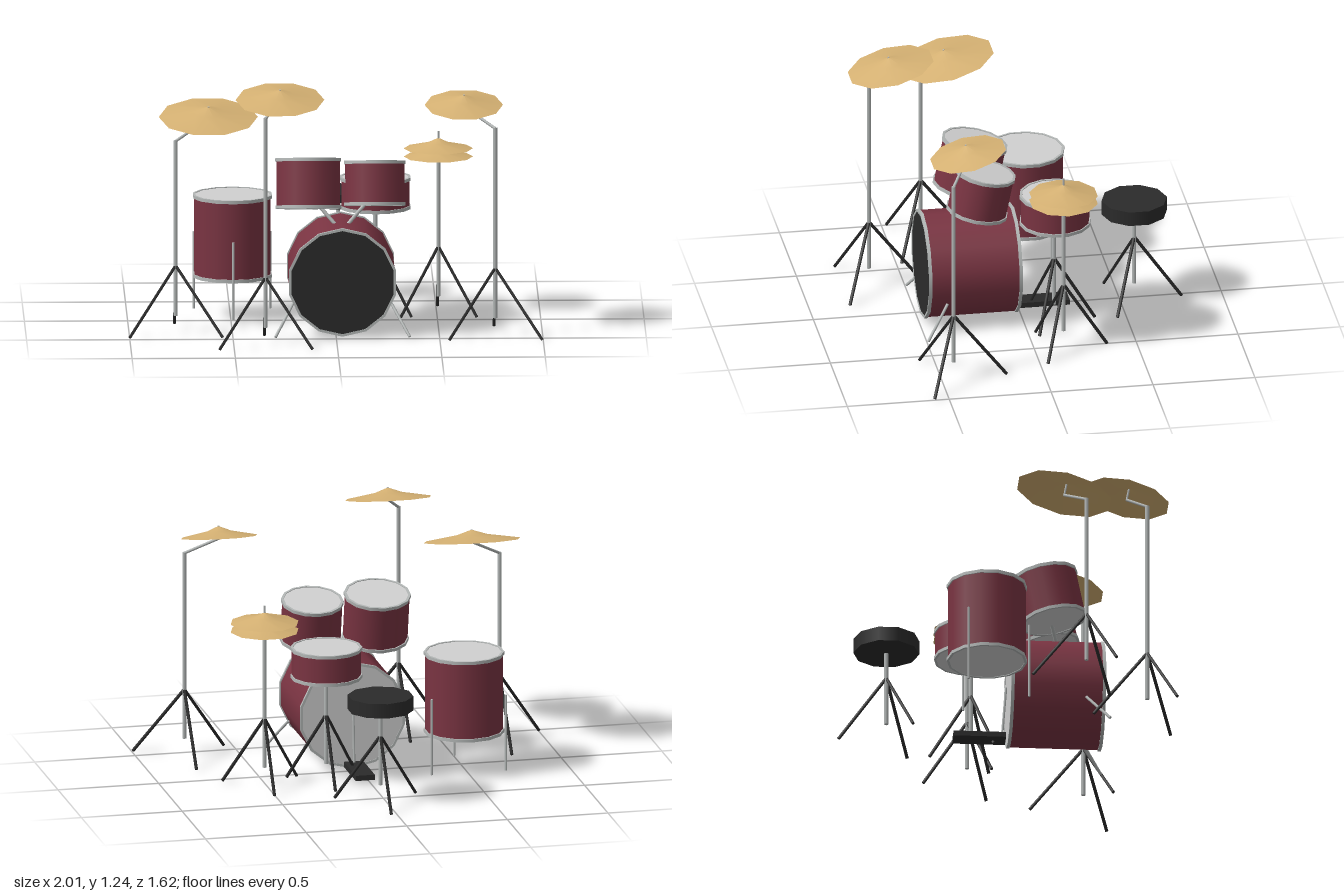
import * as THREE from 'three';
import { toCreasedNormals } from 'three/addons/utils/BufferGeometryUtils.js';

const paint = (name, color, side = THREE.FrontSide) => {
  const m = new THREE.MeshStandardMaterial({ color, side });
  m.name = name;
  return m;
};
const SIDES = 14;

export function createModel() {
  const red = paint('wine red shell', 0x7a3442, THREE.DoubleSide);
  const chrome = paint('chrome', 0xb4b8b7);
  const skin = paint('drum skin', 0xd0d0d0);
  const black = paint('black', 0x2b2b2b);
  const brass = paint('brass', 0xd4b072, THREE.DoubleSide);
  const kit = new THREE.Group();
  kit.name = 'drumKit';

  const add = (parent, name, geometry, material, x = 0, y = 0, z = 0) => {
    const mesh = new THREE.Mesh(geometry, material);
    mesh.name = name;
    mesh.position.set(x, y, z);
    parent.add(mesh);
    return mesh;
  };

  // Straight rod between two points
  const rod = (parent, name, a, b, radius, material, sides = 8) => {
    const from = new THREE.Vector3(...a), to = new THREE.Vector3(...b);
    const dir = to.clone().sub(from);
    const mesh = add(parent, name, new THREE.CylinderGeometry(radius, radius, dir.length(), sides), material);
    mesh.position.copy(from).add(to).multiplyScalar(0.5);
    mesh.quaternion.setFromUnitVectors(new THREE.Vector3(0, 1, 0), dir.normalize());
  };

  // Drum centred on its axis: shell, two hoops and two skins
  const drum = (name, radius, depth, pos, tilt = 0, topSkin = skin) => {
    const g = new THREE.Group();
    g.name = name;
    g.position.set(...pos);
    g.rotation.x = tilt;
    kit.add(g);
    const shellR = radius - 0.006, inner = radius - 0.012, h = 0.016;
    add(g, 'shell', new THREE.CylinderGeometry(shellR, shellR, depth - 0.01, SIDES, 1, true), red);
    const section = [[radius, -h / 2], [radius, h / 2], [inner, h / 2], [inner, -h / 2], [radius, -h / 2]]
      .map(p => new THREE.Vector2(...p));
    const hoop = toCreasedNormals(new THREE.LatheGeometry(section, SIDES), 0.6);
    for (const s of [1, -1]) {
      add(g, s > 0 ? 'topHoop' : 'bottomHoop', hoop, chrome, 0, s * (depth - h) / 2, 0);
      add(g, s > 0 ? 'topSkin' : 'bottomSkin', new THREE.CylinderGeometry(inner + 0.002, inner + 0.002, 0.008, SIDES),
        s > 0 ? topSkin : skin, 0, s * (depth / 2 - 0.007), 0);
    }
  };

  // Pole with three splayed legs, one pointing backwards
  const stand = (name, x, z, top, spread) => {
    const g = new THREE.Group();
    g.name = name;
    g.position.set(x, 0, z);
    kit.add(g);
    rod(g, 'pole', [0, 0.09, 0], [0, top, 0], 0.01, chrome);
    for (let i = 0; i < 3; i++) {
      const a = Math.PI + i * Math.PI * 2 / 3;
      rod(g, 'leg', [0, 0.337, 0], [Math.sin(a) * spread, 0.006, Math.cos(a) * spread], 0.008, black, 6);
    }
    return g;
  };

  // Thin cymbal with a raised bell
  const cymbal = (name, radius, pos, tilt = 0) => {
    const profile = [[radius, 0], [radius * 0.32, 0.027], [0.001, 0.052]].map(p => new THREE.Vector2(...p));
    const mesh = add(kit, name, new THREE.LatheGeometry(profile, 10, Math.PI / 2), brass, ...pos);
    mesh.rotation.x = tilt;
  };

  // Drums
  drum('bassDrum', 0.266, 0.46, [0.03, 0.274, 0.25], Math.PI / 2, black);
  drum('floorTom', 0.195, 0.405, [-0.49, 0.4, -0.118]);
  drum('snareDrum', 0.174, 0.155, [0.202, 0.602, -0.152]);
  drum('rightRackTom', 0.163, 0.245, [-0.13, 0.713, 0.21], -0.2);
  drum('leftRackTom', 0.152, 0.218, [0.192, 0.713, 0.21], -0.2);

  // Floor tom legs
  for (const a of [0, 1, 2]) {
    const t = a * Math.PI * 2 / 3;
    const x = -0.49 + Math.sin(t) * 0.213, z = -0.118 + Math.cos(t) * 0.205;
    rod(kit, 'floorTomLeg', [x, 0.02, z], [x, 0.4, z], 0.006, chrome);
  }

  // Bass drum spurs and rack tom mounts
  for (const s of [1, -1]) {
    rod(kit, 'spur', [0.03 + s * 0.235, 0.16, 0.385], [0.03 + s * 0.325, 0.01, 0.495], 0.007, chrome);
    rod(kit, 'tomMount', [0.03 + s * 0.03, 0.52, 0.258], [0.03 + s * 0.13, 0.63, 0.215], 0.009, chrome);
  }

  // Cymbals on boom stands: pole x, z, top, then cymbal radius and centre
  const booms = [
    ['right', -0.775, 0.345, 0.953, 0.24, [-0.615, 1.05, 0.248]],
    ['front', -0.347, 0.67, 1.122, 0.215, [-0.275, 1.193, 0.575]],
    ['left', 0.77, 0.44, 1.027, 0.19, [0.62, 1.122, 0.344]],
  ];
  for (const [side, x, z, top, radius, c] of booms) {
    const g = stand(side + 'CymbalStand', x, z, top, 0.26);
    rod(g, 'boom', [0, top - 0.004, 0], [c[0] - x, c[1] - 0.008, c[2] - z], 0.007, chrome);
    rod(kit, side + 'CymbalPin', [c[0], c[1] - 0.012, c[2]], [c[0], c[1] + 0.052, c[2] + 0.012], 0.005, chrome);
    cymbal(side + 'Cymbal', radius, c, 0.215);
  }

  // Hi-hat
  const hat = stand('hiHatStand', 0.507, -0.143, 0.78, 0.213);
  rod(hat, 'hiHatRod', [0, 0.77, 0], [0, 0.903, 0], 0.005, chrome);
  cymbal('hiHatBottom', 0.168, [0.507, 0.778, -0.143]);
  cymbal('hiHatTop', 0.168, [0.507, 0.818, -0.143]);

  // Snare stand and throne
  stand('snareStand', 0.202, -0.147, 0.53, 0.2);
  stand('throneStand', 0.03, -0.569, 0.48, 0.232);
  add(kit, 'throneSeat', new THREE.CylinderGeometry(0.16, 0.16, 0.072, 10), black, 0.03, 0.504, -0.569);

  // Bass pedal
  add(kit, 'pedalPlate', new THREE.BoxGeometry(0.095, 0.026, 0.255), black, 0.03, 0.034, -0.118);
  rod(kit, 'beaterRod', [0.03, 0.04, -0.008], [0.03, 0.305, 0.012], 0.006, chrome);

  return kit;
}
